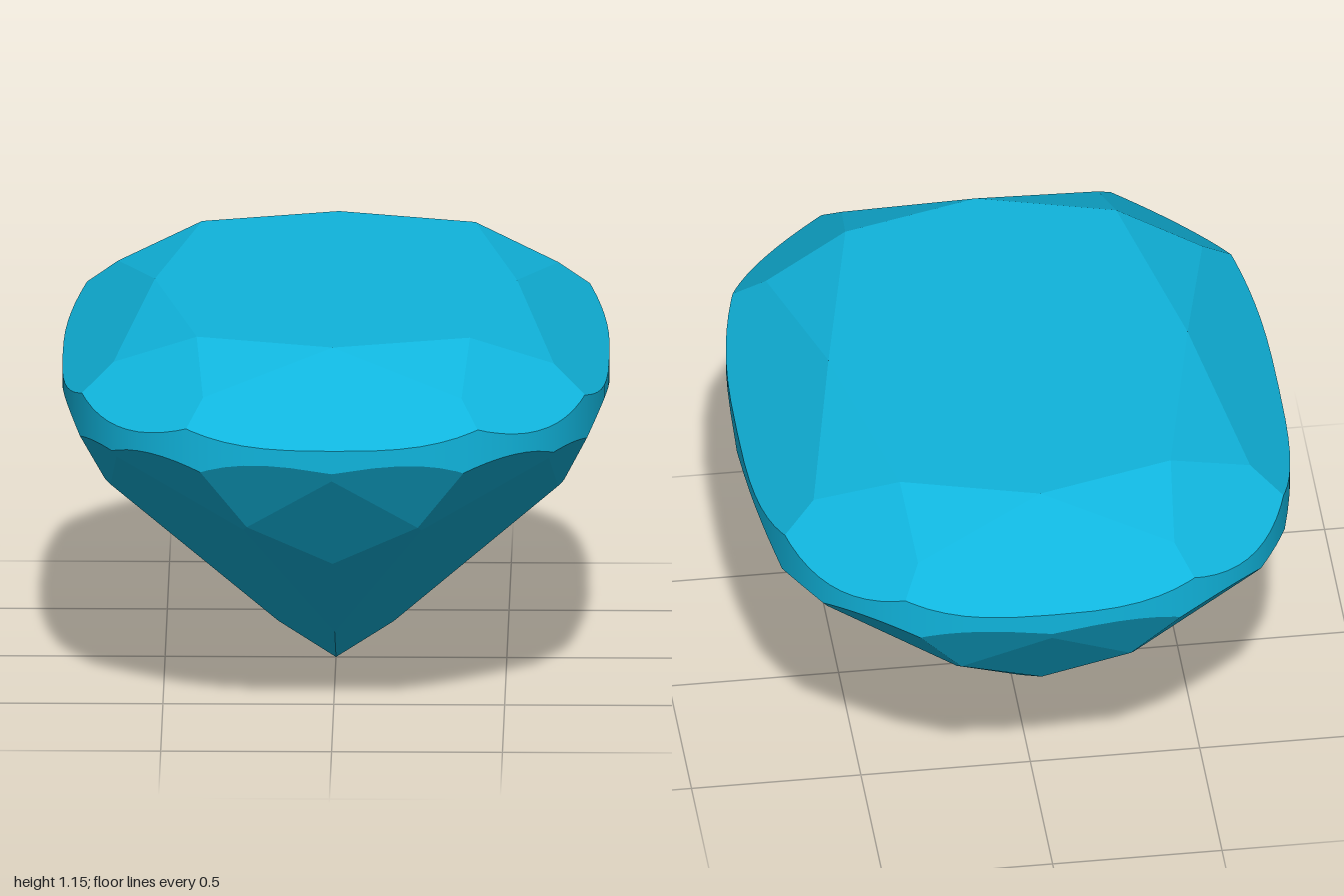
import * as THREE from 'three';

const HALF_W = 0.8, HALF_L = 1, POWER = 2.9, SIDES = 96;

// Facets above the girdle: y = y0 - a x - b z, as [a, b, y0]
const CROWN = [
  [0, 0.84, 1.15 + 0.84 * 0.72],                      // end bezels
  [0.87, 0, 1.15 + 0.87 * 0.53],                      // side bezels
  [0.567, 0.515, 1.15 + 0.567 * 0.4 + 0.515 * 0.61],  // corner bezels
  [0.131, 0.477, 1.15 + 0.477 * 0.72],                // end stars
  [0.435, 0.093, 1.15 + 0.435 * 0.53],                // side stars
];

// Facets below the girdle: y = c + p x + q z, as [p, q, c]
const PAVILION = [
  [0.65, 0.55, 0],                                    // corner mains, meeting at the point
  [0, 1.36, 0.5 - 1.36 * 0.75],                       // end mains
  [1.48, 0, 0.47 - 1.48 * 0.55],                      // side mains
  [0.256, 0.74, -0.055],                              // keel facets under the end mains
  [0.946, 0.165, -0.05],                              // keel facets under the side mains
  [0.168, 1.68, 0.845 - 1.68],                        // lower girdle, ends
  [0.731, 0.948, 0.64 - 0.731 * 0.25 - 0.948 * 0.853],
  [2.08, 0.203, 0.84 - 2.08 * 0.8],                   // lower girdle, sides
  [1.047, 0.573, 0.645 - 1.047 * 0.67 - 0.573 * 0.37],
];

// A cutting plane keeps points where normal . p <= d
function plane(x, y, z, d) {
  const n = new THREE.Vector3(x, y, z), len = n.length();
  return { n: n.divideScalar(len), d: d / len };
}

// Repeat a facet in all four quadrants
function mirrored(a, b, y, d) {
  const out = [];
  for (const sx of a ? [1, -1] : [1])
    for (const sz of b ? [1, -1] : [1]) out.push(plane(a * sx, y, b * sz, d));
  return out;
}

// Cushion outline as a ring of upright planes
function girdlePlanes() {
  const curve = (v) => Math.sign(v) * Math.abs(v) ** (2 / POWER);
  const point = (i) => {
    const t = (i / SIDES) * Math.PI * 2;
    return [HALF_W * curve(Math.cos(t)), HALF_L * curve(Math.sin(t))];
  };
  return Array.from({ length: SIDES }, (_, i) => {
    const [x0, z0] = point(i), [x1, z1] = point(i + 1);
    const nx = z1 - z0, nz = x0 - x1;
    return plane(nx, 0, nz, nx * x0 + nz * z0);
  });
}

// The part of a polygon on the kept side of a plane
function clip(poly, { n, d }) {
  const out = [];
  poly.forEach((p, i) => {
    const q = poly[(i + 1) % poly.length];
    const dp = n.dot(p) - d, dq = n.dot(q) - d;
    if (dp <= 0) out.push(p);
    if ((dp < 0 && dq > 0) || (dp > 0 && dq < 0)) out.push(p.clone().lerp(q, dp / (dp - dq)));
  });
  return out;
}

// One facet: a large square on its plane, trimmed by all other planes
function facet(own, all) {
  const ref = Math.abs(own.n.y) > 0.9 ? new THREE.Vector3(1, 0, 0) : new THREE.Vector3(0, 1, 0);
  const u = ref.cross(own.n).normalize();
  const v = own.n.clone().cross(u);
  let poly = [[-5, -5], [5, -5], [5, 5], [-5, 5]].map(([a, b]) =>
    own.n.clone().multiplyScalar(own.d).addScaledVector(u, a).addScaledVector(v, b));
  for (const other of all) if (other !== own && poly.length) poly = clip(poly, other);
  return poly;
}

// Outward direction of the cushion outline, for a smooth girdle
function outlineNormal(p) {
  const g = (v, r) => (Math.sign(v) * Math.abs(v / r) ** (POWER - 1)) / r;
  return new THREE.Vector3(g(p.x, HALF_W), 0, g(p.z, HALF_L)).normalize();
}

export function createModel() {
  const gem = new THREE.Group();
  gem.name = 'cushionCutGem';
  const material = new THREE.MeshStandardMaterial({ color: 0x10b4dc });

  const parts = {
    table: [plane(0, 1, 0, 1.15)],
    crown: CROWN.flatMap(([a, b, y0]) => mirrored(a, b, 1, y0)),
    girdle: girdlePlanes(),
    pavilion: PAVILION.flatMap(([p, q, c]) => mirrored(p, q, -1, -c)),
  };
  const all = Object.values(parts).flat();

  for (const [name, planes] of Object.entries(parts)) {
    const positions = [], normals = [];
    for (const own of planes) {
      const poly = facet(own, all);
      for (let i = 1; i + 1 < poly.length; i++)
        for (const p of [poly[0], poly[i], poly[i + 1]]) {
          positions.push(p.x, p.y, p.z);
          normals.push(...(name === 'girdle' ? outlineNormal(p) : own.n));
        }
    }
    const geometry = new THREE.BufferGeometry();
    geometry.setAttribute('position', new THREE.Float32BufferAttribute(positions, 3));
    geometry.setAttribute('normal', new THREE.Float32BufferAttribute(normals, 3));
    const mesh = new THREE.Mesh(geometry, material);
    mesh.name = name;
    gem.add(mesh);
  }
  return gem;
}
